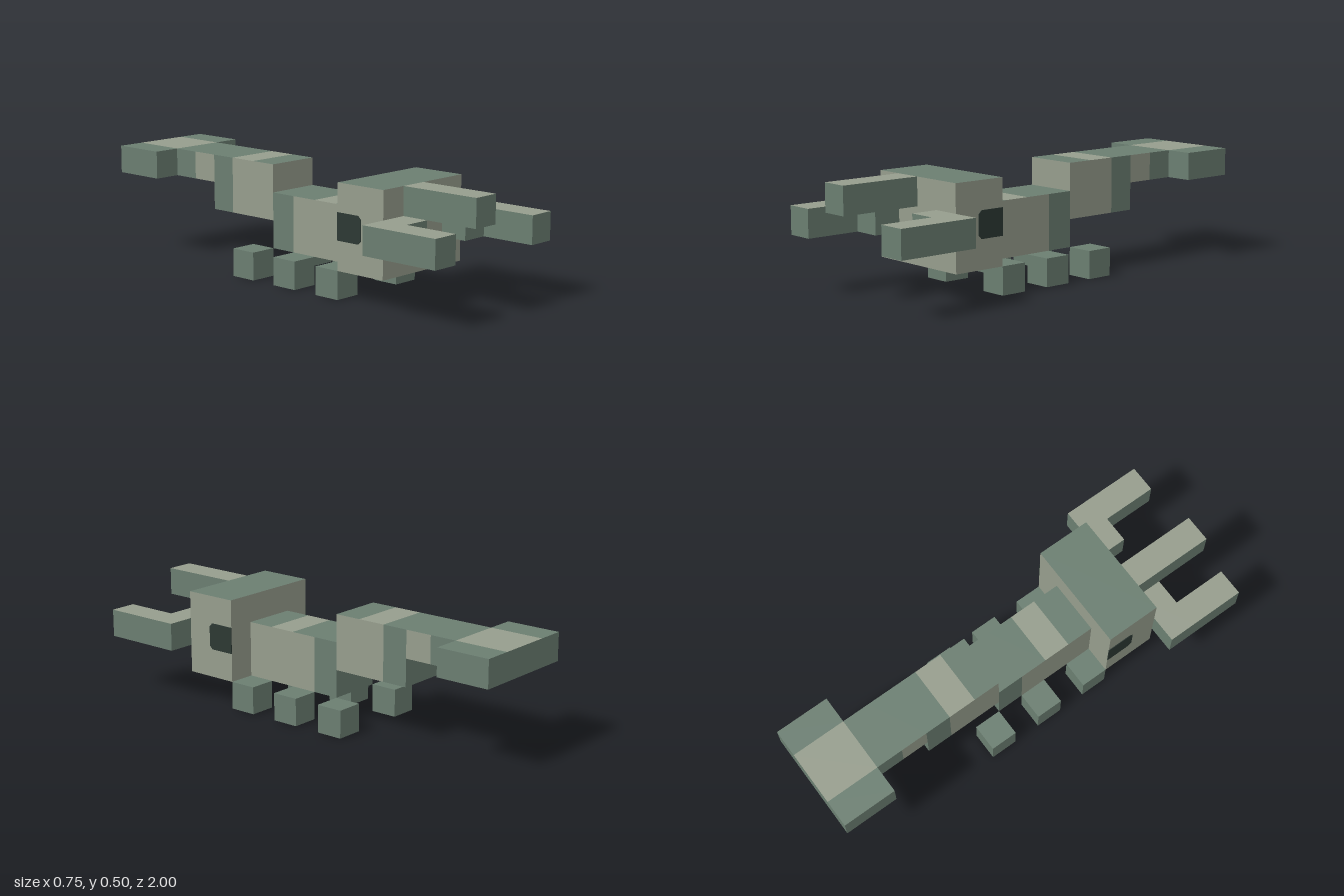
import * as THREE from 'three';

export function createModel() {
  const mat = (name, color) => {
    const m = new THREE.MeshStandardMaterial({ color });
    m.name = name;
    return m;
  };
  const green = mat('mossGreen', 0x6b7e71);
  const beige = mat('paleSage', 0x969d8d);
  const dark = mat('eyeDark', 0x2c3833);

  const model = new THREE.Group();
  model.name = 'larva';

  // Box from min/max ranges; base colour plus overrides for single faces
  const FACES = ['px', 'nx', 'py', 'ny', 'pz', 'nz'];
  function box(name, [x0, x1], [y0, y1], [z0, z1], base, faces = {}, parent = model) {
    const mesh = new THREE.Mesh(
      new THREE.BoxGeometry(x1 - x0, y1 - y0, z1 - z0),
      FACES.map(f => faces[f] || base));
    mesh.position.set((x0 + x1) / 2, (y0 + y1) / 2, (z0 + z1) / 2);
    mesh.name = name;
    parent.add(mesh);
    return mesh;
  }

  // Run of box segments along z: [zFront, zBack, topColour, sideColour]
  function banded(name, xr, yr, segments) {
    const group = new THREE.Group();
    group.name = name;
    segments.forEach(([z1, z0, top, side], i) =>
      box(`${name}Band${i + 1}`, xr, yr, [z0, z1], side, { py: top, ny: beige }, group));
    model.add(group);
  }

  // Head
  box('head', [-0.25, 0.25], [0.125, 0.5], [0.375, 0.625], beige, { py: green });

  // Thorax, abdomen and tail, banded along their length
  const half = [-0.125, 0.125];
  banded('thorax', half, [0.125, 0.375], [
    [0.375, 0.25, green, beige],
    [0.25, 0.125, beige, beige],
    [0.125, 0, green, beige],
    [0, -0.125, green, green],
  ]);
  banded('abdomen', half, [0.25, 0.5], [
    [-0.125, -0.25, green, beige],
    [-0.25, -0.38, beige, beige],
    [-0.38, -0.5, green, green],
  ]);
  banded('tail', half, [0.375, 0.5], [
    [-0.5, -0.625, green, beige],
    [-0.625, -0.75, green, green],
  ]);

  // Tail fin: pale stripe down the middle of the top
  for (const [name, x0, x1, top] of [
    ['tailFinRight', -0.25, -0.125, green],
    ['tailFinMiddle', -0.125, 0.125, beige],
    ['tailFinLeft', 0.125, 0.25, green],
  ]) box(name, [x0, x1], [0.375, 0.5], [-1, -0.75], green, { py: top, ny: beige });

  // Horn, set off centre
  box('horn', [-0.125, 0], [0.375, 0.5], [0.625, 1], green, { py: beige });

  // Paired parts
  for (const [side, s] of [['left', 1], ['right', -1]]) {
    const span = (a, b) => (s > 0 ? [a, b] : [-b, -a]);

    // L-shaped mandible
    const mandible = new THREE.Group();
    mandible.name = `${side}Mandible`;
    box('mandibleBase', span(0.125, 0.375), [0.25, 0.375], [0.625, 0.75], green, { py: beige }, mandible);
    box('mandibleProng', span(0.25, 0.375), [0.25, 0.375], [0.75, 1], green, { py: beige }, mandible);
    model.add(mandible);

    // Eye plate with clipped front corners
    const shape = new THREE.Shape();
    [[0.375, 0.255], [0.49, 0.255], [0.505, 0.27], [0.505, 0.36], [0.49, 0.375], [0.375, 0.375]]
      .forEach(([z, y], i) => (i ? shape.lineTo(-z, y) : shape.moveTo(-z, y)));
    const eye = new THREE.Mesh(
      new THREE.ExtrudeGeometry(shape, { depth: 0.004, bevelEnabled: false }), dark);
    eye.rotation.y = Math.PI / 2;
    eye.position.x = s > 0 ? 0.249 : -0.253;
    eye.name = `${side}Eye`;
    model.add(eye);

    // Three stubby legs
    ['front', 'middle', 'back'].forEach((row, i) => {
      const z = [0.25, 0, -0.25][i];
      box(`${side}${row[0].toUpperCase()}${row.slice(1)}Leg`,
        span(0.125, 0.25), [0, 0.125], [z, z + 0.125], green, { ny: beige });
    });
  }

  return model;
}
